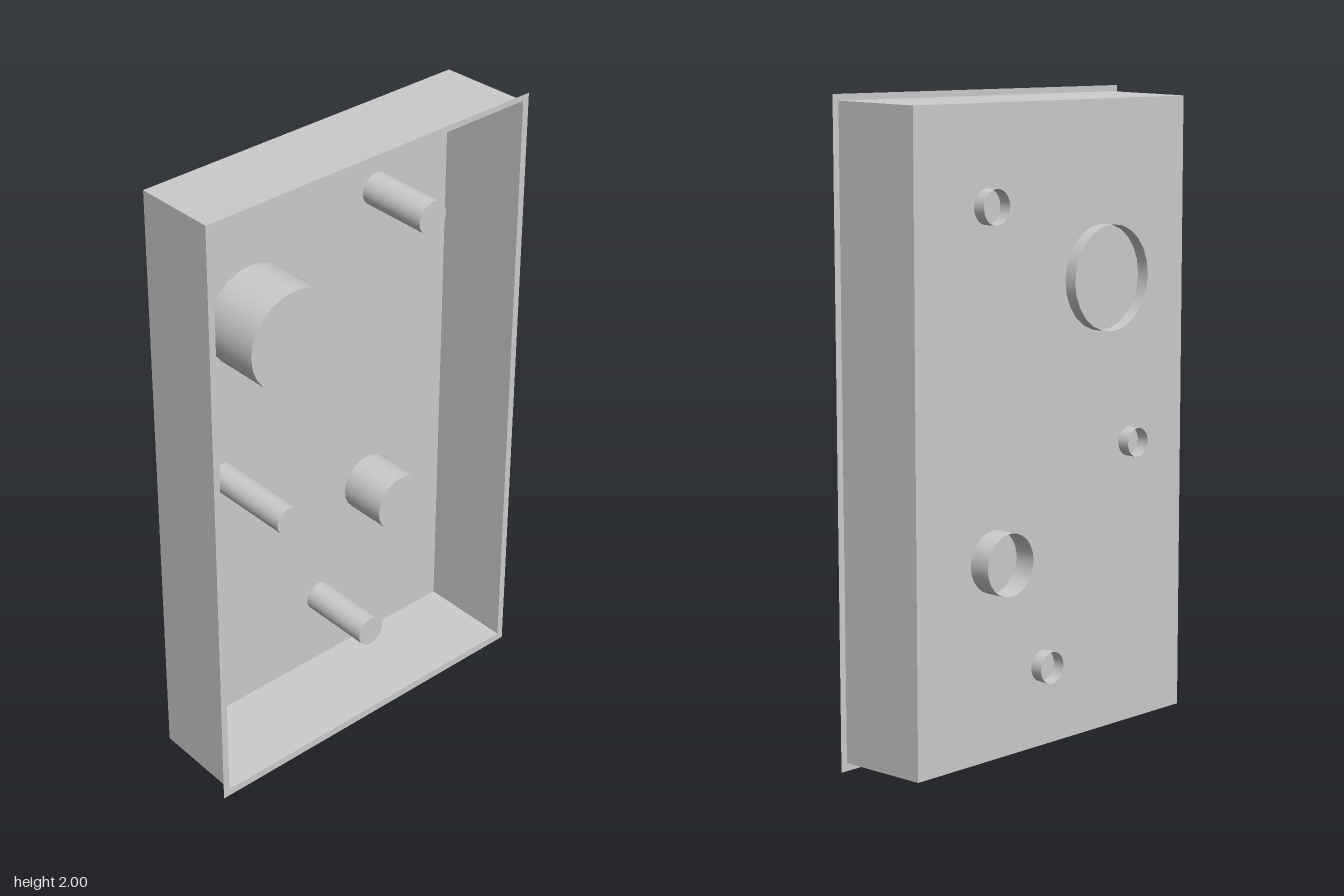
import * as THREE from 'three';

const FRONT = 0.183, BACK = -0.12, MID_Y = 1.003;

export function createModel() {
  const model = new THREE.Group();
  const material = new THREE.MeshStandardMaterial({ color: 0xcccccc, side: THREE.DoubleSide });
  const add = (parent, geometry, name) => {
    const mesh = new THREE.Mesh(geometry, material);
    mesh.name = name;
    parent.add(mesh);
    return mesh;
  };

  // Thin tray: a box without its front face, narrowing slightly to the back
  const tray = new THREE.BoxGeometry(1.156, 1.956, FRONT - BACK);
  const index = Array.from(tray.index.array);
  index.splice(24, 6);
  tray.setIndex(index);
  tray.clearGroups();
  const p = tray.attributes.position;
  for (let i = 0; i < p.count; i++) {
    if (p.getZ(i) < 0) {
      p.setX(i, p.getX(i) - Math.sign(p.getX(i)) * 0.006);
      p.setY(i, p.getY(i) - Math.sign(p.getY(i)) * 0.006);
    }
  }
  tray.computeVertexNormals();
  add(model, tray, 'tray').position.set(0, MID_Y, (FRONT + BACK) / 2);

  // Flat flange around the open front
  const rect = (Type, x, y0, y1) => new Type([[-x, y0], [x, y0], [x, y1], [-x, y1]]
    .map(([a, b]) => new THREE.Vector2(a, b)));
  const rim = rect(THREE.Shape, 0.6, 0, 2);
  rim.holes.push(rect(THREE.Path, 0.578, MID_Y - 0.978, MID_Y + 0.978));
  add(model, new THREE.ShapeGeometry(rim), 'frontFlange').position.z = FRONT;

  // Pegs through the back panel: closed in front, open behind
  const pegs = [ // x, y, radius, back z, front z
    ['largePeg', -0.205, 1.44, 0.162, -0.16, 0.075],
    ['mediumPeg', 0.26, 0.635, 0.095, -0.19, 0.04],
    ['upperPin', 0.284, 1.68, 0.053, -0.16, 0.125],
    ['middlePin', -0.327, 0.922, 0.045, -0.16, 0.187],
    ['lowerPin', 0.053, 0.28, 0.049, -0.16, 0.13],
  ];
  for (const [name, x, y, r, back, front] of pegs) {
    const peg = new THREE.Group();
    peg.name = name;
    peg.position.set(x, y, 0);
    const wall = new THREE.CylinderGeometry(r, r, front - back, 24, 1, true);
    wall.rotateX(Math.PI / 2);
    add(peg, wall, name + 'Wall').position.z = (front + back) / 2;
    add(peg, new THREE.CircleGeometry(r, 24), name + 'Cap').position.z = front;
    model.add(peg);
  }
  return model;
}
